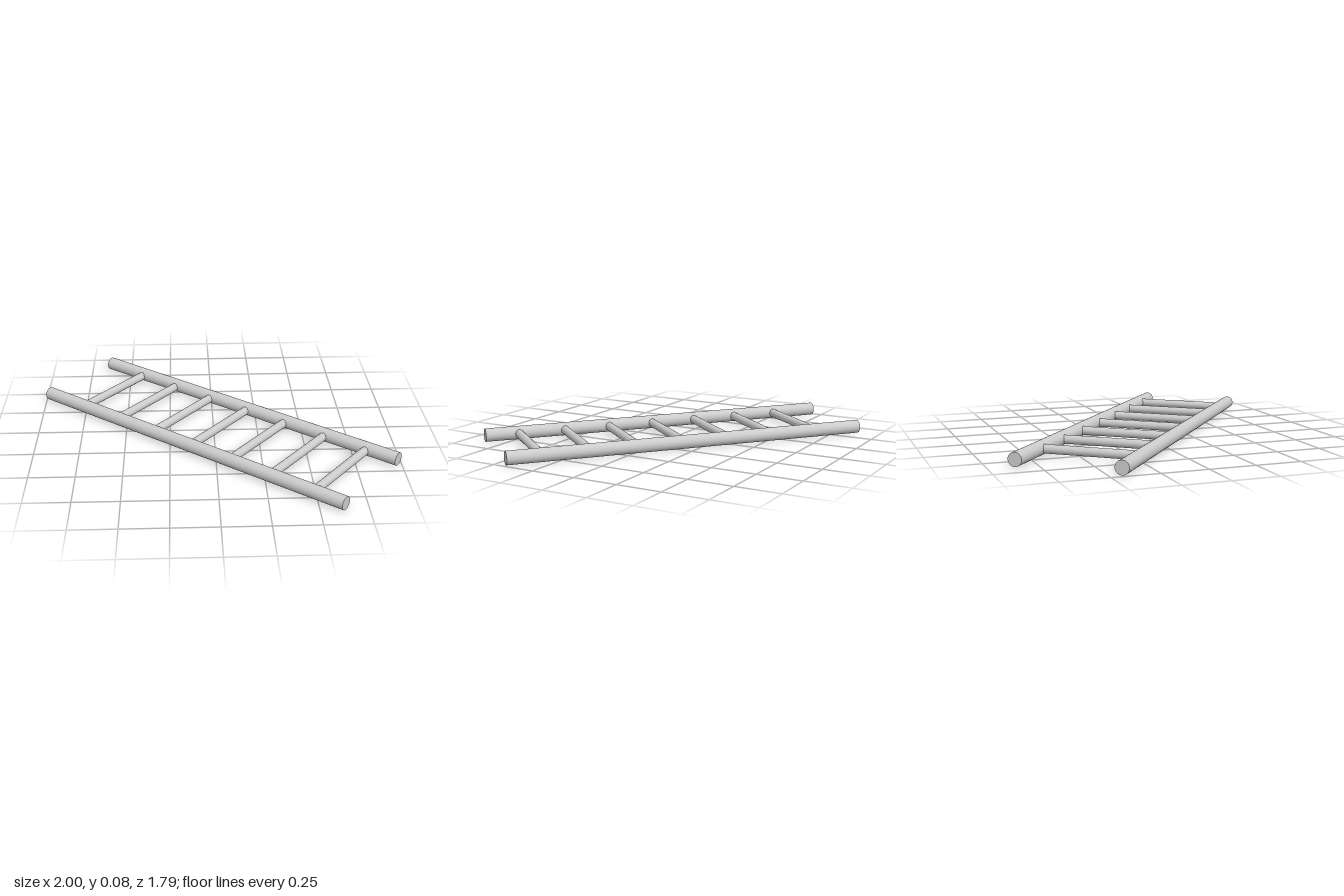
import * as THREE from 'three';

const RAIL_RADIUS = 0.0375, RAIL_LENGTH = 2.07, RAIL_SPACING = 0.553;
const RUNG_RADIUS = 0.024, RUNG_COUNT = 7, RUNG_STEP = 0.266, FIRST_RUNG = -0.75;

export function createModel() {
  const model = new THREE.Group();
  model.name = 'ladder';
  const material = new THREE.MeshStandardMaterial({ color: 0xcccccc });

  const add = (name, geometry, x, z) => {
    const mesh = new THREE.Mesh(geometry, material);
    mesh.name = name;
    mesh.position.set(x, RAIL_RADIUS, z);
    model.add(mesh);
  };

  // Two long round side rails, lying along local x
  const rail = new THREE.CylinderGeometry(RAIL_RADIUS, RAIL_RADIUS, RAIL_LENGTH, 32).rotateZ(Math.PI / 2);
  add('backRail', rail, 0, -RAIL_SPACING / 2);
  add('frontRail', rail, 0, RAIL_SPACING / 2);

  // Evenly spaced rungs, set slightly nearer to one end
  const rung = new THREE.CylinderGeometry(RUNG_RADIUS, RUNG_RADIUS, RAIL_SPACING, 32).rotateX(Math.PI / 2);
  for (let i = 0; i < RUNG_COUNT; i++) add(`rung${i + 1}`, rung, FIRST_RUNG + i * RUNG_STEP, 0);

  // The ladder lies flat, turned diagonally
  model.rotation.y = THREE.MathUtils.degToRad(-39.1);
  const root = new THREE.Group();
  root.add(model);
  return root;
}
